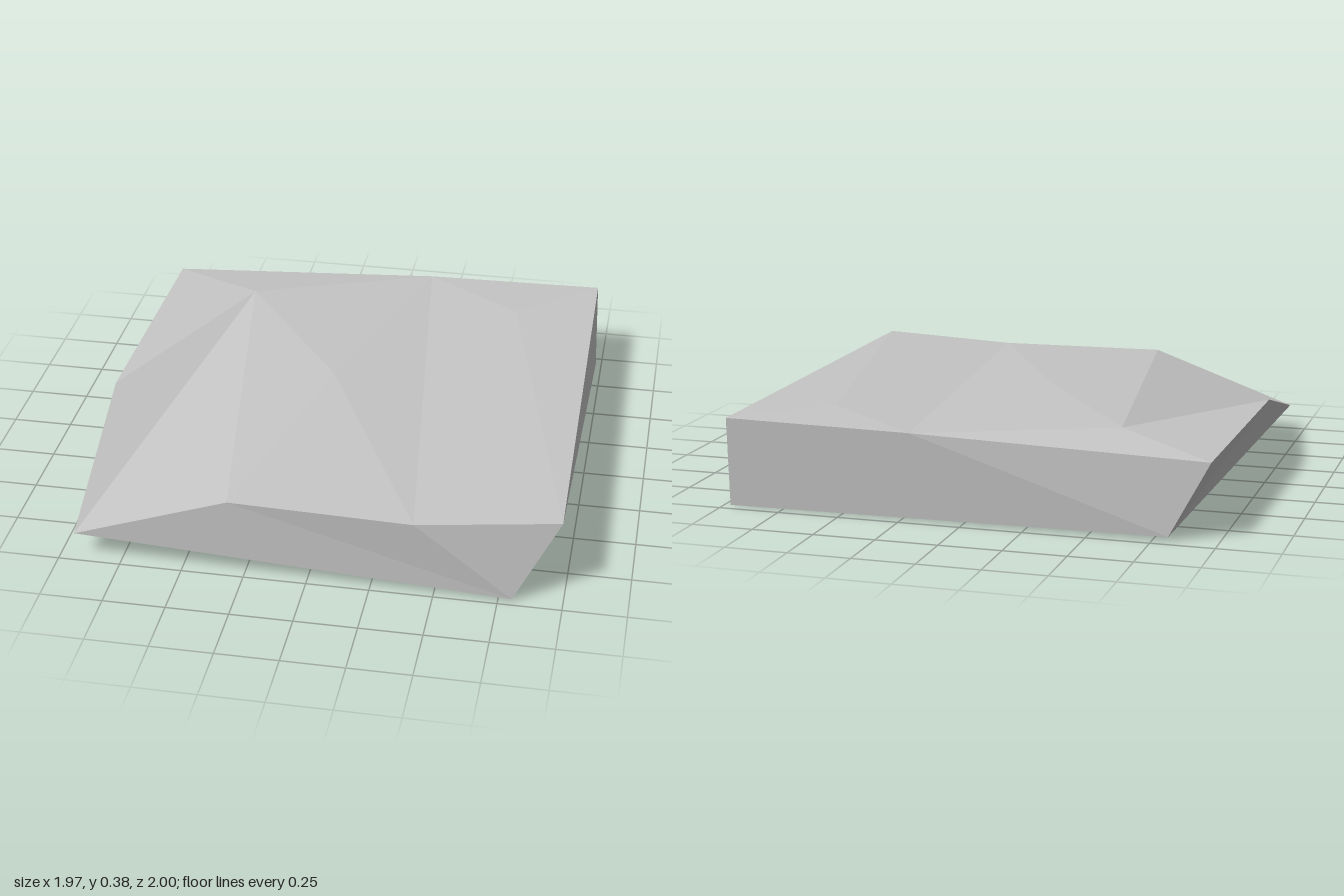
import * as THREE from 'three';

// Corners of the slab, named by where they sit
const corners = {
  // rim, anticlockwise from the low front corner
  frontLow: [-0.935, 0.112, 0.98],
  frontA: [-0.31, 0.333, 0.987],
  frontB: [0.42, 0.323, 1.0],
  frontEnd: [0.982, 0.36, 0.947],
  backEnd: [0.96, 0.368, -1.0],
  backMid: [0.2, 0.358, -1.0],
  backFar: [-0.97, 0.315, -0.955],
  sideMid: [-0.985, 0.32, 0.145],
  // raised points on the top
  ridge: [-0.565, 0.364, -0.7],
  hump: [-0.07, 0.376, 0.0],
  knob: [0.62, 0.375, -0.69],
  // base
  baseFront: [0.803, 0.006, 0.97],
  baseBack: [0.975, 0.0, -0.95],
  baseFar: [-0.81, 0.016, -0.955],
};

const stone = new THREE.MeshStandardMaterial({ color: 0xc6c6c6, flatShading: true });
stone.name = 'stone grey';

// Flat-faced mesh from triangles listed by corner name
function facets(name, triangles) {
  const points = triangles.flatMap((t) => t.split(' ').flatMap((c) => corners[c]));
  const geometry = new THREE.BufferGeometry();
  geometry.setAttribute('position', new THREE.Float32BufferAttribute(points, 3));
  geometry.computeVertexNormals();
  const mesh = new THREE.Mesh(geometry, stone);
  mesh.name = name;
  return mesh;
}

export function createModel() {
  const rock = new THREE.Group();
  rock.name = 'rockSlab';

  // Uneven top with a sloping chipped edge
  rock.add(facets('topFacets', [
    'frontLow frontA ridge', 'frontA hump ridge', 'frontA frontB hump',
    'ridge hump backMid', 'hump frontB backMid', 'frontB knob backMid',
    'frontB frontEnd knob', 'frontEnd backEnd knob', 'backEnd backMid knob',
    'backMid backFar ridge', 'backFar sideMid ridge', 'sideMid frontLow ridge',
  ]));

  // Broken sides, joining the rim to the base
  rock.add(facets('sideFacets', [
    'frontLow baseFront frontA', 'frontA baseFront frontB', 'frontB baseFront frontEnd',
    'frontEnd baseFront baseBack', 'frontEnd baseBack backEnd',
    'backEnd baseBack backMid', 'backMid baseBack baseFar', 'backMid baseFar backFar',
    'backFar baseFar sideMid', 'sideMid baseFar frontLow',
  ]));

  // Underside, rising to the low front corner
  rock.add(facets('underside', [
    'frontLow baseFar baseBack', 'frontLow baseBack baseFront',
  ]));

  return rock;
}
